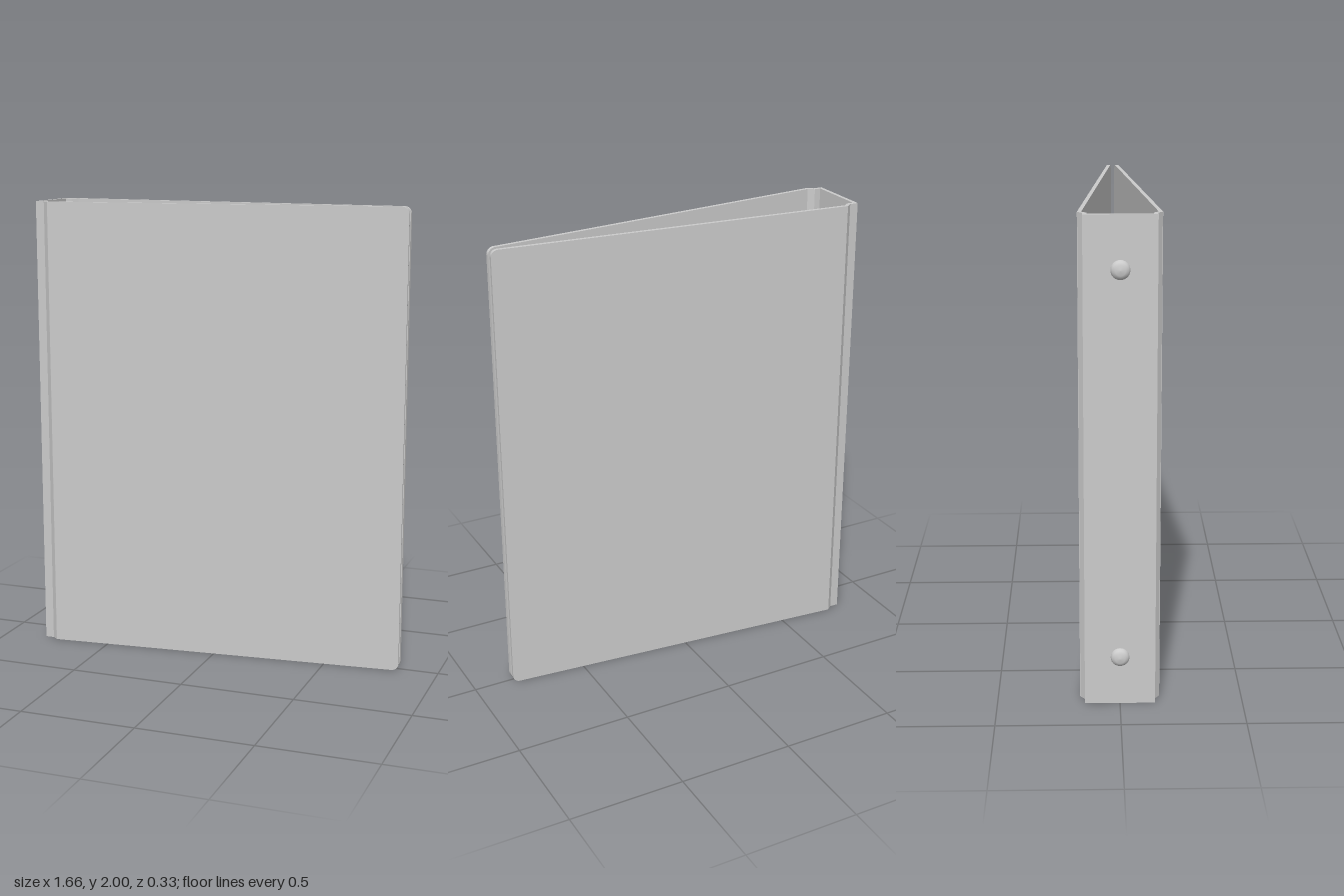
import * as THREE from 'three';

const material = new THREE.MeshStandardMaterial({ color: 0xcccccc, side: THREE.DoubleSide });
const T = 0.016; // board thickness

function add(parent, name, geometry) {
  const mesh = new THREE.Mesh(geometry, material);
  mesh.name = name;
  parent.add(mesh);
  return mesh;
}

// Closed outline of constant thickness around an open [x, z] polyline, with mitred bends
function bandShape(points, thickness) {
  const p = points.map(([x, z]) => new THREE.Vector2(x, -z));
  const sides = [[], []];
  p.forEach((pt, i) => {
    const a = p[Math.max(i - 1, 0)], b = p[Math.min(i + 1, p.length - 1)];
    const d1 = (i ? pt.clone().sub(a) : b.clone().sub(pt)).normalize();
    const d2 = (i < p.length - 1 ? b.clone().sub(pt) : d1.clone()).normalize();
    const n = new THREE.Vector2(-d1.y - d2.y, d1.x + d2.x).normalize();
    const h = thickness / 2 / (n.x * -d1.y + n.y * d1.x);
    sides[0].push(pt.clone().addScaledVector(n, h));
    sides[1].unshift(pt.clone().addScaledVector(n, -h));
  });
  return new THREE.Shape([...sides[0], ...sides[1]]);
}

// Extrude an x-z outline upwards between two heights
function upright(shape, y0, y1) {
  return new THREE.ExtrudeGeometry(shape, { depth: y1 - y0, bevelEnabled: false, curveSegments: 8 })
    .rotateX(-Math.PI / 2).translate(0, y0, 0);
}

// Cover board: square at the hinge, rounded at the free edge
function coverGeometry(length) {
  const r = 0.03, s = new THREE.Shape();
  s.moveTo(0, 0);
  s.lineTo(length - r, 0);
  s.absarc(length - r, r, r, -Math.PI / 2, 0);
  s.lineTo(length, 2 - r);
  s.absarc(length - r, 2 - r, r, 0, Math.PI / 2);
  s.lineTo(0, 2);
  return new THREE.ExtrudeGeometry(s, { depth: T, bevelEnabled: false, curveSegments: 8 })
    .translate(0, 0, -T / 2);
}

export function createModel() {
  const binder = new THREE.Group();
  binder.name = 'ringBinder';

  // Spine with a folded hinge on each side
  const hinge = [[-0.744, 0.155], [-0.77, 0.135], [-0.803, 0.135]];
  const mirrored = hinge.map(([x, z]) => [x, -z]).reverse();
  add(binder, 'spine', upright(bandShape([...hinge, ...mirrored], T), 0, 2));

  // Front and back covers, nearly meeting at the free edge
  const start = [-0.748, 0.155], end = [0.828, 0.016];
  const dx = end[0] - start[0], dz = end[1] - start[1];
  for (const side of [1, -1]) {
    const cover = add(binder, side > 0 ? 'frontCover' : 'backCover', coverGeometry(Math.hypot(dx, dz)));
    cover.position.set(start[0], 0, start[1] * side);
    cover.rotation.y = Math.atan2(-dz * side, dx);
  }

  // Domed metal rail inside the spine
  const rail = [[-0.793, 0.115], [-0.772, 0.105], [-0.745, 0.075], [-0.734, 0.045]];
  const railBack = rail.map(([x, z]) => [x, -z]).reverse();
  add(binder, 'ringRail', upright(bandShape([...rail, ...railBack], 0.006), 0.12, 1.88));
  add(binder, 'railBase', new THREE.BoxGeometry(0.006, 1.76, 0.23).translate(-0.792, 1, 0));

  // Rounded opening lever at each end of the rail
  for (const top of [false, true]) {
    const s = new THREE.Shape();
    s.moveTo(-0.045, 0.06);
    s.lineTo(-0.045, 0);
    s.absarc(0, 0, 0.045, Math.PI, Math.PI * 2);
    s.lineTo(0.045, 0.06);
    const lever = add(binder, top ? 'topLever' : 'bottomLever',
      new THREE.ExtrudeGeometry(s, { depth: 0.01, bevelEnabled: false }).rotateY(Math.PI / 2));
    lever.position.set(-0.744, top ? 1.9 : 0.1, 0);
    if (top) lever.rotation.x = Math.PI;
  }

  // Three D-shaped rings
  const ringPath = [[-0.76, -0.06], [-0.745, -0.082], [-0.7, -0.089], [-0.65, -0.089], [-0.627, -0.072],
    [-0.605, -0.015], [-0.608, 0.03], [-0.635, 0.074], [-0.69, 0.093], [-0.735, 0.08], [-0.76, 0.06]];
  const ringCurve = new THREE.CatmullRomCurve3(ringPath.map(([x, z]) => new THREE.Vector3(x, 0, z)));
  const ringGeometry = new THREE.TubeGeometry(ringCurve, 60, 0.009, 10);
  for (const y of [0.32, 0.96, 1.73]) {
    add(binder, 'ring', ringGeometry).position.y = y;
  }

  // Domed rivets on the outside of the spine
  const rivetProfile = [[0.038, 0], [0.038, 0.006], [0.032, 0.016], [0.02, 0.023], [0, 0.025]]
    .map(([r, h]) => new THREE.Vector2(r, h));
  const rivetGeometry = new THREE.LatheGeometry(rivetProfile, 24).rotateZ(Math.PI / 2);
  for (const y of [0.205, 1.79]) {
    add(binder, 'spineRivet', rivetGeometry).position.set(-0.81, y, 0);
    // Shank holding the rail to the spine
    add(binder, 'rivetShank', new THREE.CylinderGeometry(0.02, 0.02, 0.07, 16).rotateZ(Math.PI / 2))
      .position.set(-0.772, y, 0);
  }
  return binder;
}
